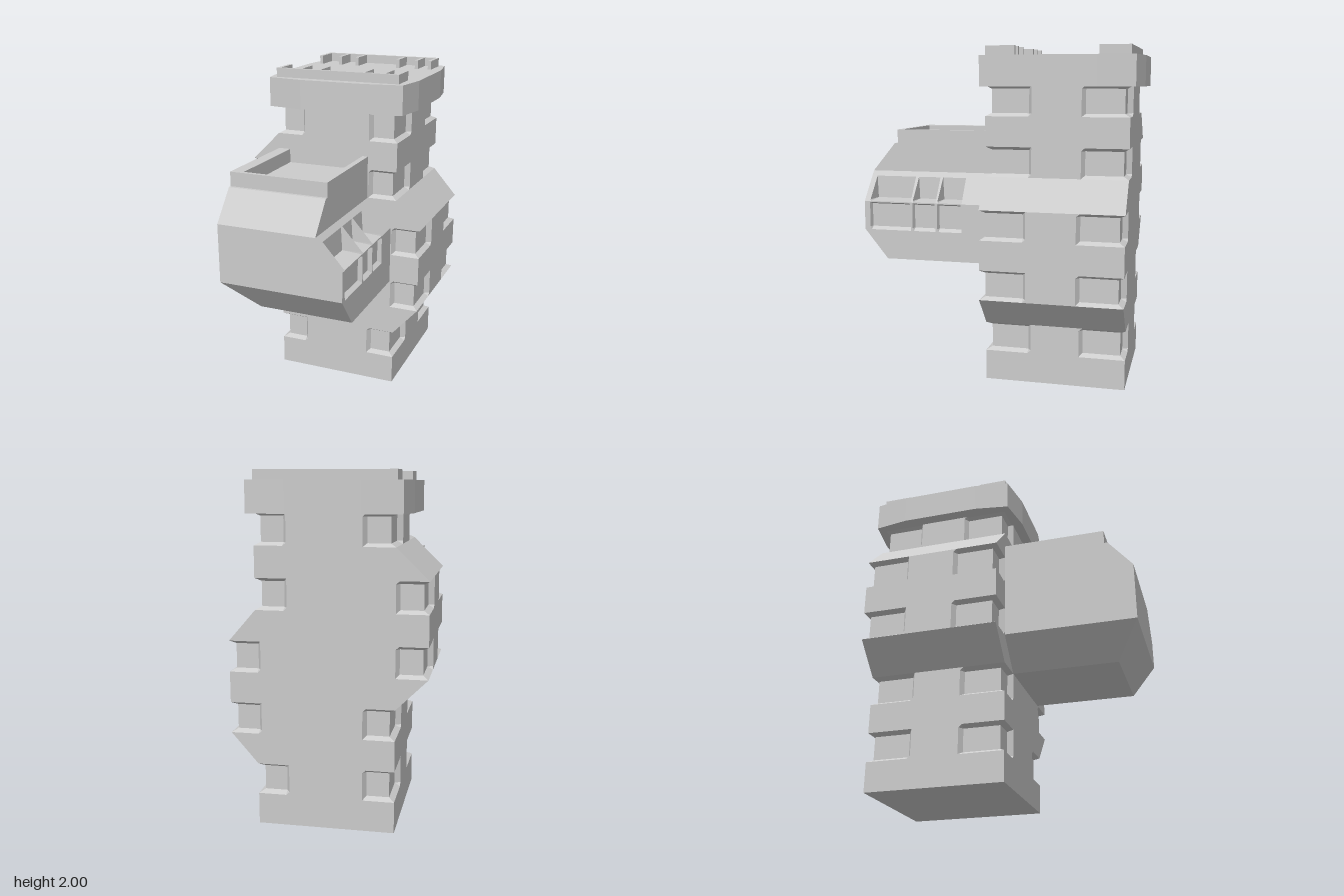
import * as THREE from 'three';

const material = new THREE.MeshStandardMaterial({ color: 0xcccccc, flatShading: true });

// Skin closed rings of points (counter-clockwise seen from the last ring) and cap both ends
function loft(rings) {
  const pos = [];
  const ab = new THREE.Vector3(), ac = new THREE.Vector3();
  const tri = (a, b, c) => {
    if (ab.subVectors(b, a).cross(ac.subVectors(c, a)).length() < 1e-8) return;
    for (const p of [a, b, c]) pos.push(p.x, p.y, p.z);
  };
  const n = rings[0].length;
  for (let k = 0; k < rings.length - 1; k++) {
    const a = rings[k], b = rings[k + 1];
    for (let i = 0; i < n; i++) {
      const j = (i + 1) % n;
      tri(a[i], a[j], b[j]);
      tri(a[i], b[j], b[i]);
    }
  }
  const cap = (ring, flip) => {
    const c = ring.reduce((s, p) => s.add(p), new THREE.Vector3()).divideScalar(n);
    ring.forEach((p, i) => {
      const q = ring[(i + 1) % n];
      flip ? tri(c, q, p) : tri(c, p, q);
    });
  };
  cap(rings[0], true);
  cap(rings[rings.length - 1], false);
  const geo = new THREE.BufferGeometry();
  geo.setAttribute('position', new THREE.Float32BufferAttribute(pos, 3));
  geo.computeVertexNormals();
  return geo;
}

function add(parent, name, geometry) {
  const mesh = new THREE.Mesh(geometry, material);
  mesh.name = name;
  parent.add(mesh);
  return mesh;
}

// Box given by its limits
function addBox(parent, name, x0, x1, y0, y1, z0, z1) {
  add(parent, name, new THREE.BoxGeometry(x1 - x0, y1 - y0, z1 - z0))
    .position.set((x0 + x1) / 2, (y0 + y1) / 2, (z0 + z1) / 2);
}

const FRONT = 0.06, BACK = -0.78;

// Horizontal tower section; d is how far the corner windows are sunk
function towerRing(y, x0, x1, d) {
  const corner = (x, z, ix, iz) => [
    [x + ix * 0.18, z],
    [x + ix * 0.16, z + iz * d],
    [x + ix * d, z + iz * d],
    [x + ix * d, z + iz * 0.255],
    [x, z + iz * 0.275],
  ];
  return [
    ...corner(x1, FRONT, -1, -1),
    ...corner(x1, BACK, -1, 1).reverse(),
    ...corner(x0, BACK, 1, 1),
    ...corner(x0, FRONT, 1, -1).reverse(),
  ].map(([x, z]) => new THREE.Vector3(x, y, z));
}

// Tower: five storeys, side bays shift outward on some of them
function towerGeometry() {
  const left = [-0.38, -0.38, -0.56, -0.56, -0.38];
  const right = [0.4, 0.555, 0.555, 0.4, 0.4];
  const rings = [towerRing(0, left[0], right[0], 0)];
  left.forEach((x0, i) => {
    const y0 = 0.18 + i * 0.354, y1 = y0 + 0.177;
    for (const [y, d] of [[y0, 0], [y0 + 0.018, 0.032], [y1 - 0.018, 0.032], [y1, 0]]) {
      rings.push(towerRing(y, x0, right[i], d));
    }
  });
  return loft(rings);
}

// Vertical section of the projecting room; open sections cut the side windows
function roomRing(z, open) {
  const t = Math.max(0, (z - 0.7) / 0.145);
  const yb = 0.71 + 0.18 * t, yt = 1.415 - 0.175 * t;
  const side = open
    ? [[0.37, 0.89], [0.345, 0.908], [0.345, 1.05], [0.37, 1.06], [0.37, 1.067], [0.25, 1.075], [0.242, 1.21]]
    : [[0.37, 0.89], [0.37, 0.908], [0.37, 1.05], [0.37, 1.06], [0.37, 1.065], [0.361, 1.075], [0.242, 1.21]];
  return [
    [-0.38, 0.89], [-0.2 - (yb - 0.71), yb], [0.37, yb],
    ...side,
    [0.215, 1.24], [0.215, yt], [-0.38, yt],
  ].map(([x, y]) => new THREE.Vector3(x, y, z));
}

function roomGeometry() {
  const rings = [roomRing(0.02, false)];
  for (const [z0, z1] of [[0.22, 0.375], [0.385, 0.533], [0.545, 0.81]]) {
    rings.push(roomRing(z0, false), roomRing(z0 + 0.008, true));
    if (z1 > 0.7) rings.push(roomRing(0.7, true));
    rings.push(roomRing(z1 - 0.008, true), roomRing(z1, false));
  }
  rings.push(roomRing(0.845, false));
  return loft(rings);
}

export function createModel() {
  const model = new THREE.Group();
  model.name = 'towerBuilding';

  add(model, 'tower', towerGeometry());
  add(model, 'projectingRoom', roomGeometry());

  // Terrace walls on the projecting room
  const terrace = new THREE.Group();
  terrace.name = 'terrace';
  model.add(terrace);
  addBox(terrace, 'terraceLeftWall', 0.18, 0.215, 1.41, 1.5, 0.05, 0.68);
  addBox(terrace, 'terraceRightWall', -0.38, -0.305, 1.41, 1.5, 0.05, 0.68);
  addBox(terrace, 'terraceFrontWall', -0.305, 0.18, 1.41, 1.5, 0.655, 0.68);

  // Roof slab with bowed sides
  const outline = [
    [-0.2, 0.122], [0.21, 0.122], [0.435, 0.087], [0.468, -0.12], [0.468, -0.6], [0.435, -0.81],
    [0.21, -0.845], [-0.2, -0.845], [-0.42, -0.81], [-0.453, -0.6], [-0.453, -0.12], [-0.42, 0.087],
  ].map(([x, z]) => new THREE.Vector2(x, -z));
  const slab = new THREE.ExtrudeGeometry(new THREE.Shape(outline), { depth: 0.177, bevelEnabled: false });
  slab.rotateX(-Math.PI / 2);
  add(model, 'roofSlab', slab).position.y = 1.768;

  // Parapets along front and back with short fins pointing inward
  const parapets = new THREE.Group();
  parapets.name = 'roofParapets';
  model.add(parapets);
  const t = 0.022;
  addBox(parapets, 'frontParapet', -0.385, 0.4, 1.94, 2, FRONT - t, FRONT);
  addBox(parapets, 'backParapet', -0.385, 0.4, 1.94, 2, BACK, BACK + t);
  for (const x of [-0.385, -0.247, -0.125, 0.162, 0.29, 0.378]) {
    addBox(parapets, 'frontFin', x, x + t, 1.94, 2, -0.115, FRONT - t);
    addBox(parapets, 'backFin', x, x + t, 1.94, 2, BACK + t, -0.6);
  }

  return model;
}
